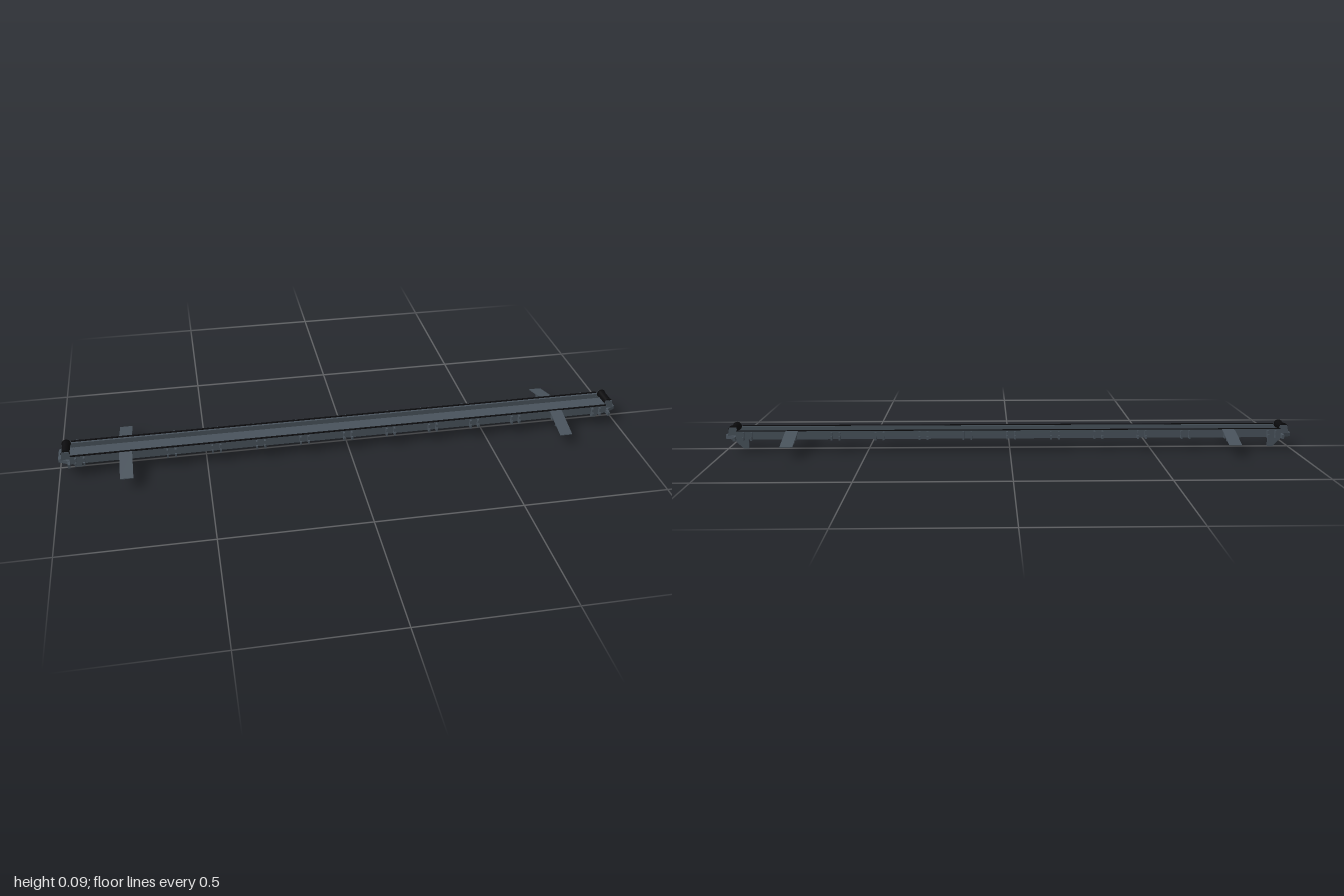
import * as THREE from 'three';

export function createModel() {
  const steel = new THREE.MeshStandardMaterial({ color: 0x48525b });
  steel.name = 'grey steel';
  const rubber = new THREE.MeshStandardMaterial({ color: 0x0b0b0d });
  rubber.name = 'black rubber';

  const model = new THREE.Group();
  model.name = 'longBeam';

  const add = (name, geometry, material, x = 0, y = 0, z = 0) => {
    const mesh = new THREE.Mesh(geometry, material);
    mesh.name = name;
    mesh.position.set(x, y, z);
    model.add(mesh);
    return mesh;
  };
  // Box given by its lower and upper limits on each axis
  const box = (name, [x0, x1], [y0, y1], [z0, z1], material = steel) =>
    add(name, new THREE.BoxGeometry(x1 - x0, y1 - y0, Math.abs(z1 - z0)), material,
      (x0 + x1) / 2, (y0 + y1) / 2, (z0 + z1) / 2);
  const extrude = (points, depth) => new THREE.ExtrudeGeometry(
    new THREE.Shape(points.map(p => new THREE.Vector2(...p))), { depth, bevelEnabled: false });

  // Channel beam: sunken deck between two side rails
  box('deck', [-0.96, 0.96], [0.043, 0.055], [-0.038, 0.038]);
  for (const s of [-1, 1]) {
    box('sideRail', [-0.96, 0.96], [0.043, 0.072], [s * 0.037, s * 0.052]);
    box('railStrip', [-0.958, 0.958], [0.072, 0.0745], [s * 0.045, s * 0.052], rubber);
  }

  // Thirteen stations of paired lugs; the second and the second last carry ramps
  const pitch = 0.1537;
  for (let i = -6; i <= 6; i++) {
    const x = i * pitch - 0.004;
    for (const s of [-1, 1]) {
      for (const dx of [-0.014, 0.014]) {
        box('lug', [x + dx - 0.003, x + dx + 0.003], [0.042, 0.055], [s * 0.05, s * 0.069]);
        box('lugWeb', [x + dx - 0.003, x + dx + 0.003], [0.055, 0.069], [s * 0.05, s * 0.063]);
      }
      if (Math.abs(i) !== 5) continue;
      // Sloping ramp plate, swept along x from its side profile
      const profile = [[0.05, 0.0735], [0.05, 0.0695], [0.169, 0.0385], [0.169, 0.041]];
      const geometry = extrude(profile.map(([z, y]) => [-s * z, y]), 0.044);
      geometry.rotateY(Math.PI / 2);
      add('ramp', geometry, steel, x - 0.022);
      box('rampFoot', [x - 0.018, x + 0.018], [0.04, 0.057], [s * 0.1, s * 0.108]);
    }
  }

  // Ends: cross plate, tapered nose, keel fin and roller
  for (const e of [-1, 1]) {
    const nose = extrude([[0.95, -0.05], [0.965, -0.05], [1, -0.031], [1, 0.031],
      [0.965, 0.05], [0.95, 0.05]].map(([x, z]) => [e * x, z]), 0.013);
    nose.rotateX(-Math.PI / 2);
    add('nose', nose, steel, 0, 0.0425);

    box('crossPlate', [e * 0.963 - 0.004, e * 0.963 + 0.004], [0.041, 0.055], [-0.073, 0.073]);

    const fin = extrude([[0.927, 0.044], [0.927, 0], [0.945, 0], [0.99, 0.044]]
      .map(([x, y]) => [e * x, y]), 0.006);
    add('keelFin', fin, steel, 0, 0, -0.003);

    const roller = add('roller', new THREE.CylinderGeometry(0.0135, 0.0135, 0.066, 24), rubber,
      e * 0.973, 0.075, 0);
    roller.rotation.x = Math.PI / 2;
    for (const s of [-1, 1]) {
      const flange = add('rollerFlange', new THREE.CylinderGeometry(0.0155, 0.0155, 0.003, 24),
        rubber, e * 0.973, 0.075, s * 0.0335);
      flange.rotation.x = Math.PI / 2;
      const bracket = extrude([[0.953, 0.054], [0.991, 0.054], [0.985, 0.084], [0.961, 0.084]]
        .map(([x, y]) => [e * x, y]), 0.003);
      add('rollerBracket', bracket, steel, 0, 0, s * 0.0375 - 0.0015);
    }
  }
  return model;
}
